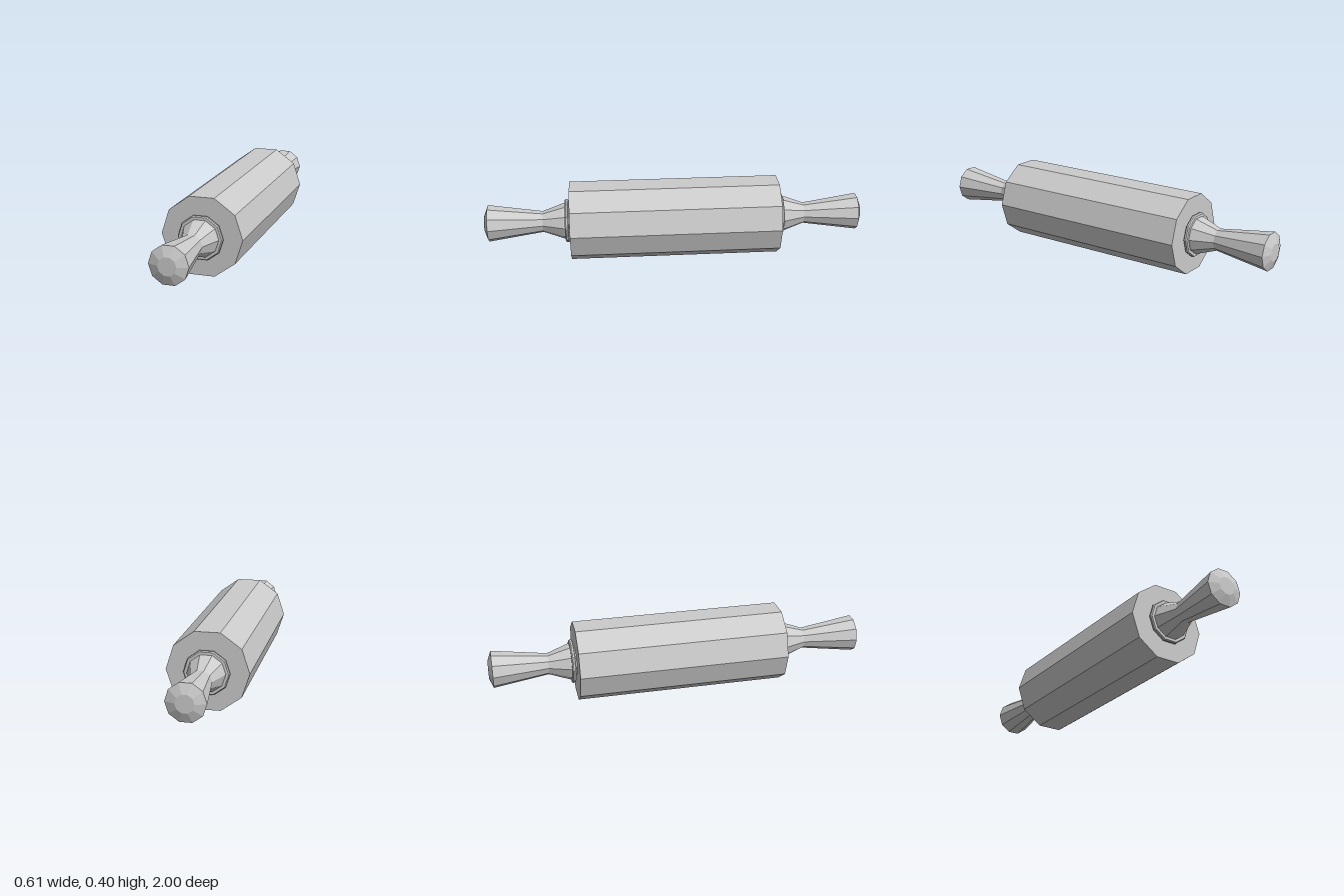
import * as THREE from 'three';

const material = new THREE.MeshStandardMaterial({ color: 0xcccccc, flatShading: true });

// Ten-sided turned part along +z; profile is [radius, distance along the axis]
function turned(name, profile) {
  const points = profile.map(([r, s]) => new THREE.Vector2(r, s));
  const geometry = new THREE.LatheGeometry(points, 10, Math.PI / 2);
  geometry.rotateX(Math.PI / 2);
  const mesh = new THREE.Mesh(geometry, material);
  mesh.name = name;
  return mesh;
}

// Collar and flared grip for one end
function handle(name) {
  const group = new THREE.Group();
  group.name = name;
  group.add(
    turned('spindle', [[0.075, 0.54], [0.075, 0.575]]),
    turned('collar', [[0, 0.563], [0.111, 0.563], [0.116, 0.568], [0.116, 0.577], [0.111, 0.583], [0, 0.583]]),
    turned('grip', [[0.097, 0.58], [0.095, 0.592], [0.056, 0.7], [0.098, 0.988], [0.046, 1.008], [0, 1.008]])
  );
  return group;
}

export function createModel() {
  const model = new THREE.Group();
  model.name = 'rollingPin';

  // Main roller with flat ends
  const roller = turned('roller', [[0, -0.555], [0.209, -0.555], [0.209, 0.555], [0, 0.555]]);

  // Matching handles at both ends
  const frontHandle = handle('frontHandle');
  const backHandle = handle('backHandle');
  backHandle.rotation.y = Math.PI;

  // The pin lies on its side, turned slightly
  const pin = new THREE.Group();
  pin.name = 'pin';
  pin.add(roller, frontHandle, backHandle);
  pin.rotation.y = THREE.MathUtils.degToRad(-10.2);
  pin.position.y = 0.199;
  model.add(pin);
  return model;
}
